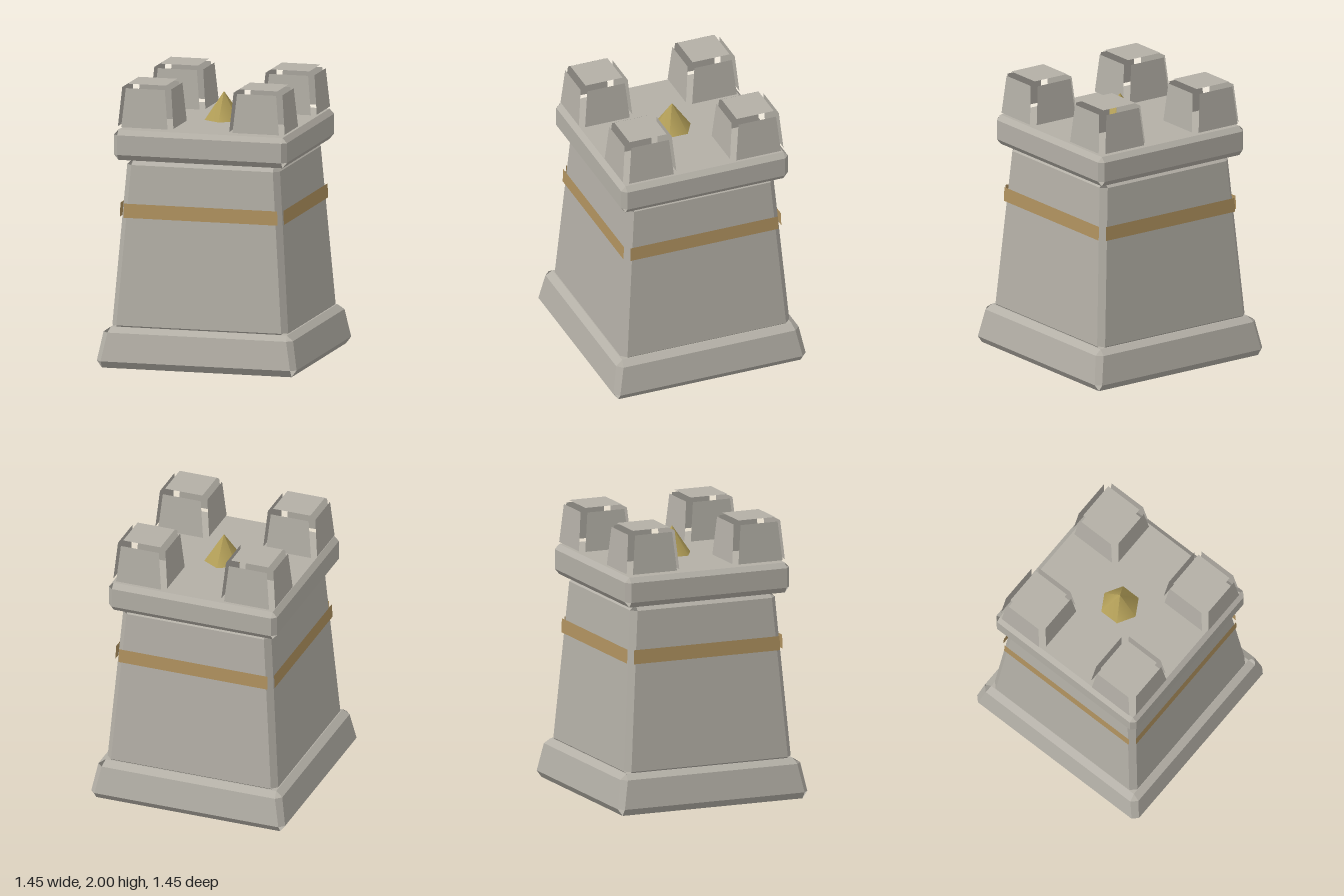
import * as THREE from 'three';

const stone = new THREE.MeshStandardMaterial({ color: 0xb3afa6, side: THREE.DoubleSide });
const band = new THREE.MeshStandardMaterial({ color: 0xb0925f, side: THREE.DoubleSide });
const gold = new THREE.MeshStandardMaterial({ color: 0xb39f58 });
stone.name = 'stone';
band.name = 'tan band';
gold.name = 'gold';

// Flat-shaded geometry from quads, each listed counter-clockwise from outside.
function quadGeometry(quads) {
  const p = [];
  for (const [a, b, c, d] of quads) p.push(...a, ...b, ...c, ...a, ...c, ...d);
  const g = new THREE.BufferGeometry();
  g.setAttribute('position', new THREE.Float32BufferAttribute(p, 3));
  g.computeVertexNormals();
  return g;
}

// Quarter turns about y, applied to a corner.
function turn([x, y, z], n) {
  for (let i = 0; i < n; i++) [x, z] = [z, -x];
  return [x, y, z];
}

// Square block of tapered side panels and end plates.
// y: bottom plate, panel bottom, panel top, top plate
// out: panel distance from centre, wide: panel half width, plate: plate half width
// (out, wide and plate are each [bottom, top])
function block({ y, out, wide, plate, bevel = true, plates = true }) {
  const [y0, yb, yt, y1] = y, [zb, zt] = out, [wb, wt] = wide, [pb, pt] = plate;
  const bl = [-wb, yb, zb], br = [wb, yb, zb], tr = [wt, yt, zt], tl = [-wt, yt, zt];
  const side = [[bl, br, tr, tl]];
  if (bevel) side.push(
    [tl, tr, [pt, y1, pt], [-pt, y1, pt]],
    [[-pb, y0, pb], [pb, y0, pb], br, bl],
    [br, [zb, yb, wb], [zt, yt, wt], tr]);
  const quads = [];
  for (let n = 0; n < 4; n++)
    for (const q of side) quads.push(q.map((v) => turn(v, n)));
  if (plates) quads.push([[-pt, y1, pt], [pt, y1, pt], [pt, y1, -pt], [-pt, y1, -pt]]);
  if (plates && bevel) quads.push([[-pb, y0, -pb], [pb, y0, -pb], [pb, y0, pb], [-pb, y0, pb]]);
  return quadGeometry(quads);
}

export function createModel() {
  const model = new THREE.Group();
  model.name = 'tower';
  const add = (name, geometry, material, x = 0, y = 0, z = 0) => {
    const m = new THREE.Mesh(geometry, material);
    m.name = name;
    m.position.set(x, y, z);
    model.add(m);
  };

  // Spreading foot
  add('base', block({
    y: [0, 0.05, 0.25, 0.285], out: [0.727, 0.69], wide: [0.69, 0.65], plate: [0.69, 0.64],
  }), stone);

  // Tapered walls
  add('walls', block({
    y: [0.26, 0.295, 1.425, 1.465], out: [0.64, 0.556], wide: [0.6, 0.515], plate: [0.6, 0.51],
  }), stone);

  // Four strips around the walls
  add('wallBand', block({
    y: [1.04, 1.055, 1.155, 1.17], out: [0.597, 0.593], wide: [0.56, 0.558], plate: [0.55, 0.55],
    bevel: false, plates: false,
  }), band);

  // Overhanging platform
  add('cornice', block({
    y: [1.465, 1.505, 1.645, 1.68], out: [0.63, 0.63], wide: [0.597, 0.597], plate: [0.597, 0.597],
  }), stone);

  // Corner battlements with open seams between the slabs
  const battlement = block({
    y: [1.68, 1.7, 1.975, 2], out: [0.202, 0.178], wide: [0.169, 0.142], plate: [0.165, 0.14],
    bevel: false,
  });
  for (const x of [-1, 1])
    for (const z of [-1, 1]) add('battlement', battlement, stone, x * 0.405, 0, z * 0.405);

  // Six-sided spike in the middle of the platform
  add('finial', new THREE.ConeGeometry(0.147, 0.21, 6), gold, 0, 1.775, 0);

  return model;
}
